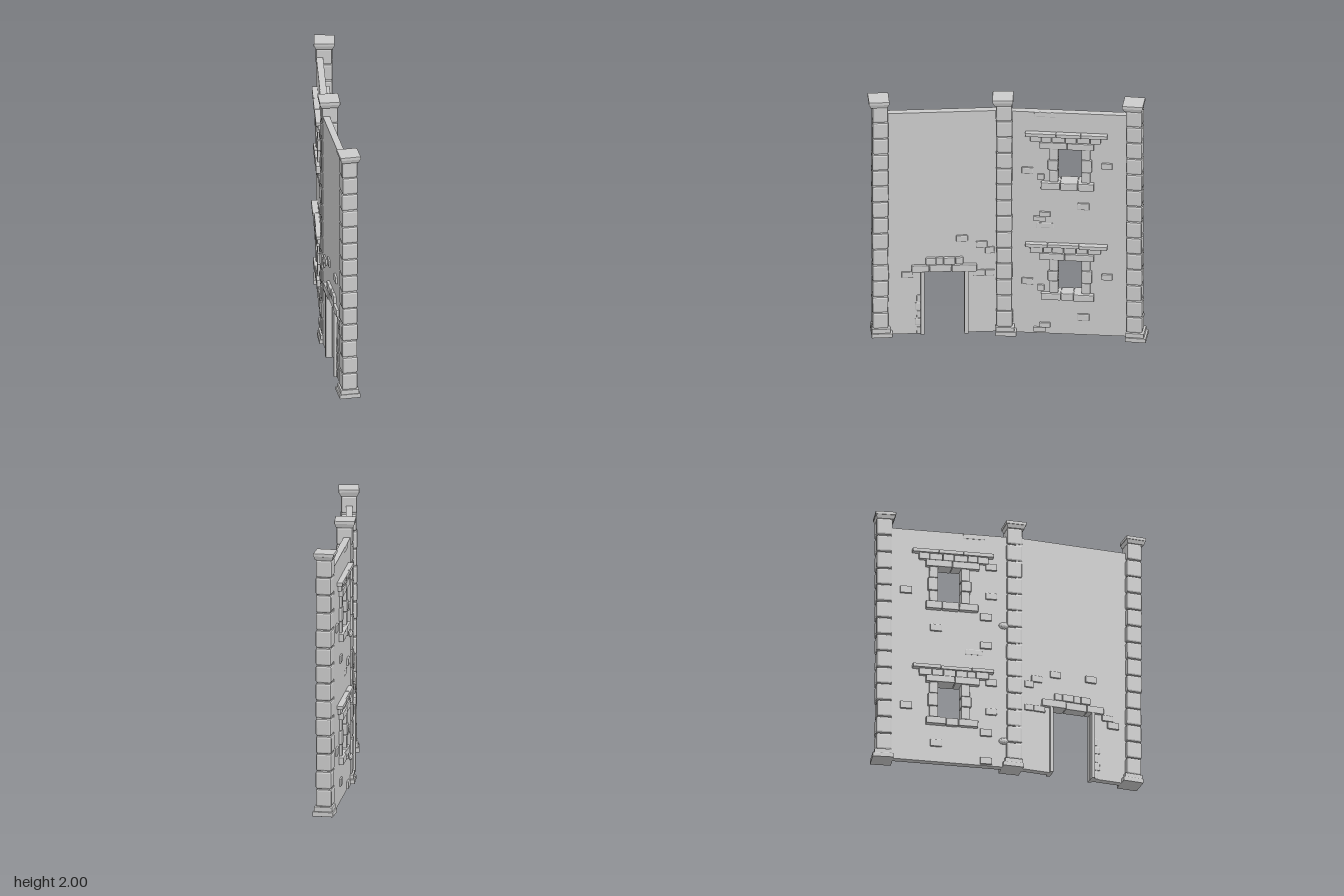
import * as THREE from 'three';
import { RoundedBoxGeometry } from 'three/addons/geometries/RoundedBoxGeometry.js';

const material = new THREE.MeshStandardMaterial({ color: 0xcccccc, flatShading: true });

// Small seeded generator, returns a value in -1..1
let seed = 7;
function vary(amount = 1) {
  seed = (seed * 16807) % 2147483647;
  return ((seed / 2147483647) * 2 - 1) * amount;
}

function add(parent, geometry, name, x = 0, y = 0, z = 0) {
  const mesh = new THREE.Mesh(geometry, material);
  mesh.name = name;
  mesh.position.set(x, y, z);
  parent.add(mesh);
  return mesh;
}

// Chamfered block, slightly skewed so that no two stones match
function stone(parent, name, x, y, z, w, h, d, rough = 1) {
  const geometry = new RoundedBoxGeometry(w, h, d, 1, Math.min(w, h, d) * 0.12);
  const p = geometry.attributes.position;
  const skewY = vary(0.025 * rough), skewZ = vary(0.02 * rough), taper = vary(0.02 * rough);
  for (let i = 0; i < p.count; i++) {
    const px = p.getX(i), py = p.getY(i), pz = p.getZ(i);
    p.setXYZ(i, px * (1 + taper * py / h), py * (1 + skewY * px / w), pz * (1 + skewZ * px / w));
  }
  geometry.computeVertexNormals();
  return add(parent, geometry, name, x, y, z);
}

// A row of stones of uneven length filling the span x0..x1, centred in the wall
function course(parent, name, x0, x1, y, h, depth, count) {
  const cuts = [x0];
  for (let i = 1; i < count; i++) cuts.push(x0 + (x1 - x0) * (i + vary(0.2)) / count);
  cuts.push(x1);
  for (let i = 0; i < count; i++) {
    const w = cuts[i + 1] - cuts[i];
    stone(parent, name, (cuts[i] + cuts[i + 1]) / 2, y, 0, w - 0.002, h * (1 + vary(0.06)), depth + (count > 1 ? vary(0.012) : 0));
  }
}

// Single bricks: [x, y, width, height, side], side 0 goes through, 1 front, -1 back
function looseBricks(parent, list) {
  for (const [x, y, w, h, side] of list) {
    stone(parent, 'looseBrick', x, y, side * 0.018, w, h, side ? 0.045 : 0.075);
  }
}

function wallPanel(parent, outline, holes) {
  const shape = new THREE.Shape(outline.map(([x, y]) => new THREE.Vector2(x, y)));
  for (const [x0, x1, y0, y1] of holes) {
    shape.holes.push(new THREE.Path([[x0, y0], [x0, y1], [x1, y1], [x1, y0]].map(([x, y]) => new THREE.Vector2(x, y))));
  }
  const geometry = new THREE.ExtrudeGeometry(shape, { depth: 0.05, bevelEnabled: false });
  add(parent, geometry, 'wall', 0, 0, -0.025);
}

function section(name, x, z, degrees) {
  const group = new THREE.Group();
  group.name = name;
  group.position.set(x, 0, z);
  group.rotation.y = -THREE.MathUtils.degToRad(degrees);
  return group;
}

// Square pillar of stacked blocks with a stepped base and a flared cap
function pillar(x, z, degrees) {
  const group = section('pillar', x, z, degrees);
  stone(group, 'pillarBase', -0.012, 0.0175, 0, 0.156, 0.035, 0.156, 0.5);
  stone(group, 'pillarPlinth', -0.006, 0.052, 0, 0.138, 0.036, 0.138, 0.5);
  const count = 14, bottom = 0.068, step = (1.95 - bottom) / count;
  for (let i = 0; i < count; i++) {
    stone(group, 'pillarBlock', vary(0.002), bottom + step * (i + 0.5), vary(0.002),
      0.12 + vary(0.004), step - 0.001, 0.12 + vary(0.004));
  }
  const flare = new THREE.CylinderGeometry(0.147 * Math.SQRT1_2, 0.126 * Math.SQRT1_2, 0.03, 4);
  flare.rotateY(Math.PI / 4);
  add(group, flare, 'pillarCapFlare', 0.01, 1.962, 0);
  stone(group, 'pillarCap', 0.01, 1.9875, 0, 0.153, 0.025, 0.153, 0);
  return group;
}

// Window surround; y is the underside of the opening
const OPEN = { x0: -0.115, x1: 0.065, h: 0.285 };
function windowFrame(parent, y) {
  const group = new THREE.Group();
  group.name = 'windowFrame';
  group.position.y = y;
  parent.add(group);
  course(group, 'sill', -0.205, 0.19, -0.035, 0.06, 0.112, 3);
  for (const side of [-1, 1]) {
    const inner = side < 0 ? OPEN.x0 : OPEN.x1;
    const heights = side < 0 ? [0.09, 0.105, 0.1] : [0.1, 0.085, 0.11];
    let bottom = -0.005;
    heights.forEach((h, i) => {
      const w = 0.066 + (i % 2) * 0.012;
      stone(group, 'jambStone', inner + side * (w / 2 - 0.004), bottom + h / 2, 0, w, h, 0.09 + (i % 2) * 0.008);
      bottom += h;
    });
  }
  course(group, 'lintel', -0.205, 0.2, 0.305, 0.055, 0.112, 2);
  course(group, 'brickCourse', -0.255, 0.27, 0.36, 0.056, 0.102, 6);
  course(group, 'cornice', -0.305, 0.305, 0.398, 0.028, 0.13, 3);
}

function windowWall() {
  const group = section('windowWall', -0.395, -0.19, 35.8);
  const sills = [0.36, 1.30];
  wallPanel(group, [[-0.46, 0], [0.46, 0], [0.46, 1.875], [-0.46, 1.875]],
    sills.map(y => [OPEN.x0 - 0.01, OPEN.x1 + 0.01, y - 0.01, y + OPEN.h + 0.01]));
  for (const y of sills) {
    windowFrame(group, y);
    // Bricks repeat around each storey
    looseBricks(group, [
      [-0.35, y + 0.08, 0.09, 0.058, 1], [-0.3, y + 0.14, 0.08, 0.05, -1],
      [0.29, y + 0.08, 0.085, 0.055, 0], [0.29, y + 0.315, 0.085, 0.055, 1],
      [0.25, y - 0.095, 0.09, 0.058, 1], [-0.125, y - 0.21, 0.09, 0.058, 0],
      [0.25, y - 0.325, 0.09, 0.055, 1], [0.16, y - 0.285, 0.08, 0.04, -1],
      [0.2, y - 0.325, 0.09, 0.04, -1], [0.19, y + 0.03, 0.05, 0.05, -1],
    ]);
    const rubble = add(group, new THREE.IcosahedronGeometry(0.034, 1), 'rubble', 0.385, y - 0.15, 0.02);
    rubble.scale.set(1.2, 0.85, 0.8);
  }
  // Nearly flush patches
  stone(group, 'flushBrick', 0.16, 0.915, 0, 0.13, 0.045, 0.055);
  stone(group, 'flushBrick', 0.16, 1.855, 0, 0.16, 0.04, 0.056);
  return group;
}

function doorWall() {
  const group = section('doorWall', 0.37, 0.295, 27.8);
  const half = 0.16, top = 0.54;
  wallPanel(group, [[-0.435, 0], [-half, 0], [-half, top], [half, top], [half, 0], [0.45, 0], [0.45, 1.875], [-0.435, 1.875]], []);
  // Door lining, a front and a back upright on each side
  for (const side of [-1, 1]) {
    for (const face of [-1, 1]) {
      stone(group, 'doorJamb', side * 0.162, 0.265, face * 0.025, face > 0 ? 0.024 : 0.03, 0.53, 0.048, 0.3);
    }
  }
  // Quoins beside the right upright
  [0.03, 0.1, 0.165, 0.235, 0.3].forEach((y, i) => {
    stone(group, 'quoin', 0.18 + (i % 2) * 0.006, y, 0, 0.05 + (i % 2) * 0.015, 0.06, 0.06);
  });
  course(group, 'doorLintel', -0.24, 0.245, 0.556, 0.06, 0.098, 3);
  course(group, 'doorBrickCourse', -0.14, 0.14, 0.617, 0.056, 0.086, 4);
  looseBricks(group, [
    [-0.255, 0.505, 0.09, 0.05, 0], [-0.335, 0.505, 0.07, 0.05, 0],
    [0.275, 0.505, 0.085, 0.05, 0], [0.32, 0.45, 0.09, 0.055, 1],
    [-0.275, 0.745, 0.085, 0.055, 0], [-0.335, 0.695, 0.07, 0.055, 0],
    [-0.13, 0.8, 0.085, 0.055, 0], [0.145, 0.8, 0.085, 0.055, 1],
  ]);
  return group;
}

export function createModel() {
  seed = 7;
  const model = new THREE.Group();
  model.name = 'ruinedFacade';
  model.add(
    pillar(-0.786, -0.517, 39),
    pillar(-0.008, 0.062, 32),
    pillar(0.792, 0.515, 27),
    windowWall(),
    doorWall(),
  );
  return model;
}
